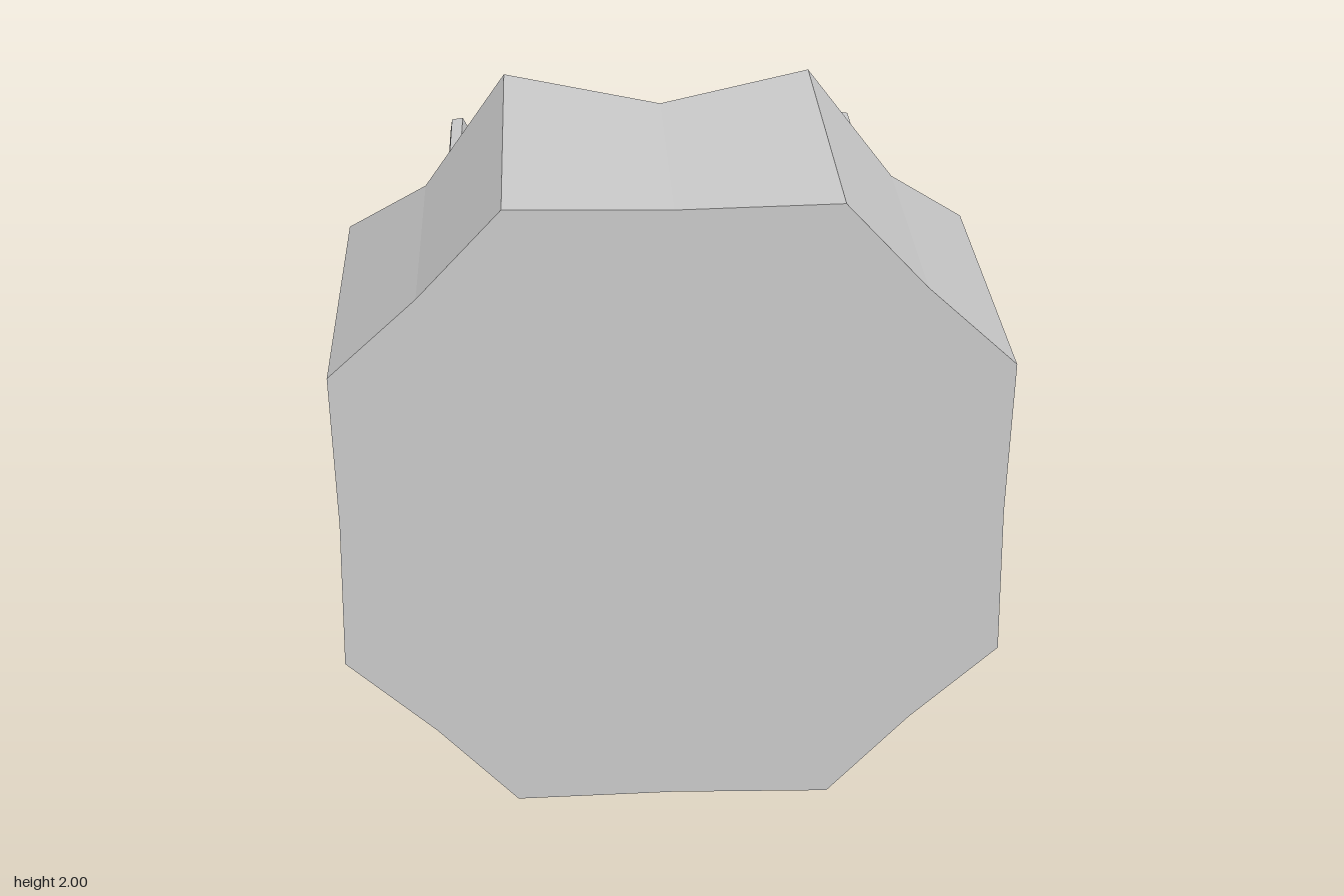
import * as THREE from 'three';

const FRONT = 0.785, FLANGE = 0.735, BACK = -0.785;

// Octagon with each side folded slightly inward at its middle: 16 points, counter-clockwise
function outline(scale = 1) {
  const quarter = [[1, -0.485], [0.99, 0], [1, 0.485], [0.73, 0.735]];
  const corner = [0.485, 1];
  const pts = [];
  for (let q = 0; q < 4; q++) {
    const c = Math.round(Math.cos(q * Math.PI / 2)), s = Math.round(Math.sin(q * Math.PI / 2));
    for (const [x, y] of quarter) {
      pts.push(new THREE.Vector2((x * c - y * s) * scale, (x * s + y * c) * scale));
    }
  }
  // corner positions repeat by quarter turns, so every fourth run starts on a new straight side
  return pts;
}

export function createModel() {
  const group = new THREE.Group();
  const solid = new THREE.MeshStandardMaterial({ color: 0xcccccc, flatShading: true });
  const thin = new THREE.MeshStandardMaterial({ color: 0xcccccc, flatShading: true, side: THREE.DoubleSide });
  const add = (name, geometry, material, x = 0, y = 1, z = 0) => {
    const mesh = new THREE.Mesh(geometry, material);
    mesh.name = name;
    mesh.position.set(x, y, z);
    group.add(mesh);
    return mesh;
  };

  const ring = outline();

  // Front plate
  add('frontPlate', new THREE.ShapeGeometry(new THREE.Shape(ring)), thin, 0, 1, FRONT);

  // Open wall whose rear edge zigzags: long at the corners, short at the folds
  const pos = [], index = [];
  ring.forEach((p, i) => {
    pos.push(p.x, p.y, FRONT, p.x, p.y, i % 2 ? -0.07 : -0.33);
    const a = 2 * i, b = 2 * ((i + 1) % ring.length);
    index.push(a, a + 1, b, b, a + 1, b + 1);
  });
  const wall = new THREE.BufferGeometry();
  wall.setAttribute('position', new THREE.Float32BufferAttribute(pos, 3));
  wall.setIndex(index);
  wall.computeVertexNormals();
  add('shellWall', wall, thin);

  // Raised flange around the inside of the plate
  const rim = new THREE.Shape(outline(0.999));
  rim.holes.push(new THREE.Path(outline(0.82).reverse()));
  add('innerFlange', new THREE.ExtrudeGeometry(rim, { depth: FRONT - FLANGE - 0.003, bevelEnabled: false }),
    solid, 0, 1, FLANGE);

  // Four mounting rods with nuts, one on each diagonal side
  const prism = (radius, sides, length) =>
    new THREE.CylinderGeometry(radius, radius, length, sides).rotateX(Math.PI / 2);
  for (const sx of [1, -1]) {
    for (const sy of [1, -1]) {
      const x = 0.65 * sx, y = 1 + 0.657 * sy;
      const turn = Math.atan2(sy, sx) + Math.PI / 2; // one edge points outward
      const rod = add('mountingRod', prism(0.031, 5, FLANGE - BACK), solid, x, y, (FLANGE + BACK) / 2);
      rod.rotation.z = turn;
      const nut = add('rodNut', prism(0.075, 6, 0.035), solid, x, y, FLANGE - 0.0175);
      nut.rotation.z = turn;
    }
  }
  return group;
}
